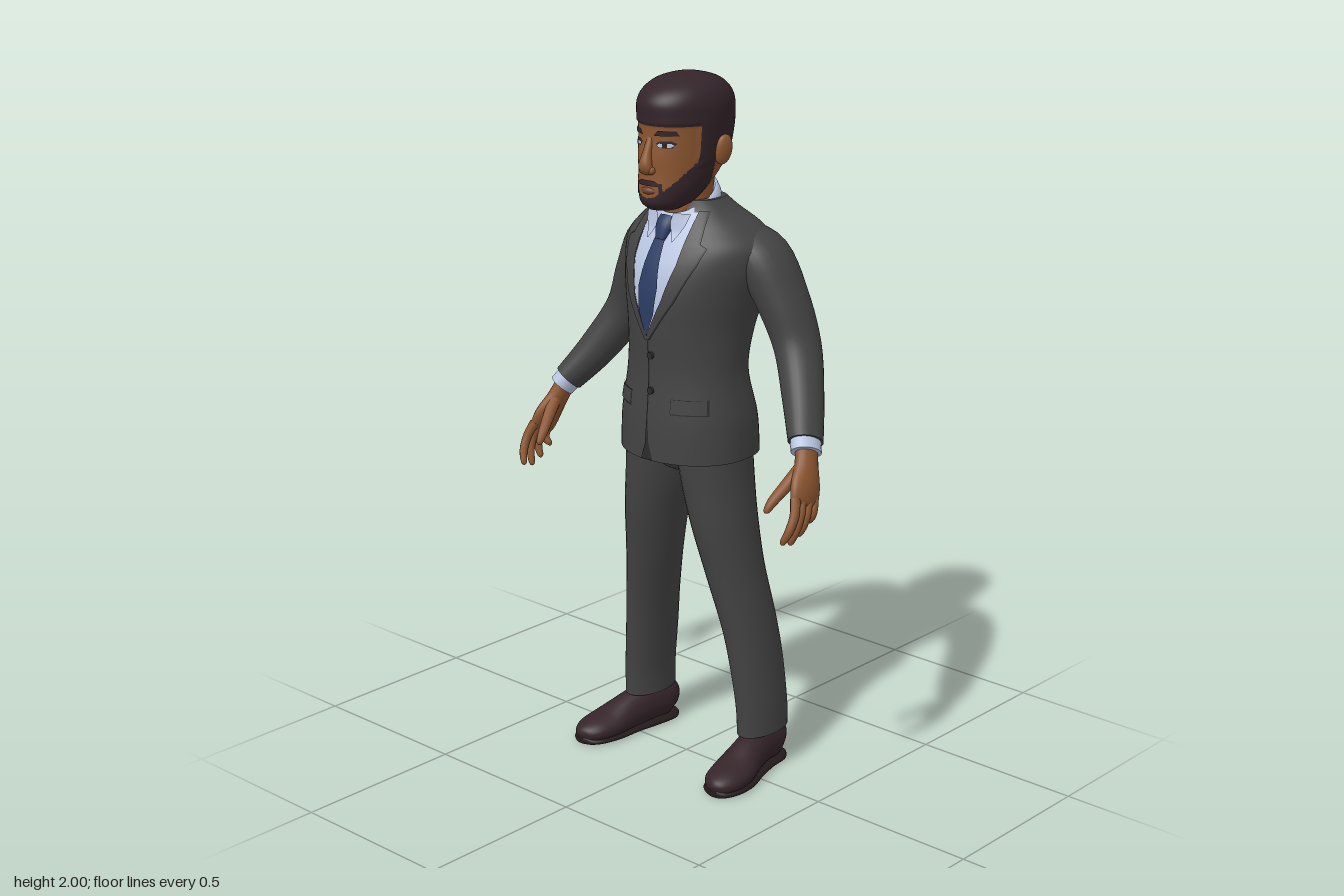
import * as THREE from 'three';

const mat = (name, color) => Object.assign(new THREE.MeshStandardMaterial({ color, side: THREE.DoubleSide }), { name });
const suit = mat('suit cloth', 0x434343), seam = mat('suit seam', 0x2b2b2b), skin = mat('skin', 0x8b5530);
const hair = mat('hair', 0x33242a), shoe = mat('shoe leather', 0x35252a), sole = mat('shoe sole', 0x241a1c);
const shirt = mat('shirt', 0xb9c5e0), tie = mat('tie', 0x2b3c63), lip = mat('lips', 0x754331);

// Catmull-Rom interpolation of rows of numbers, k steps per span
function dense(rows, k) {
  const out = [], n = rows.length, at = i => rows[Math.min(n - 1, Math.max(0, i))];
  for (let i = 0; i < n - 1; i++) for (let j = 0; j < k; j++) {
    const t = j / k, [a, b, c, d] = [at(i - 1), at(i), at(i + 1), at(i + 2)];
    out.push(b.map((p, m) => {
      const cubic = 3 * (p - c[m]) + d[m] - a[m], square = 2 * a[m] - 5 * p + 4 * c[m] - d[m];
      return p + 0.5 * t * (c[m] - a[m] + t * (square + t * cubic));
    }));
  }
  out.push(rows[n - 1]);
  return out;
}

// Closed skin over rings of points, with optional flat caps; always wound outwards
function loft(rings, caps = true) {
  const n = rings[0].length, pos = rings.flat(2), idx = [];
  for (let i = 0; i < rings.length - 1; i++) for (let j = 0; j < n; j++) {
    const a = i * n + j, b = i * n + (j + 1) % n;
    idx.push(a, b, a + n, b, b + n, a + n);
  }
  if (caps) for (const [ring, flip] of [[rings[0], true], [rings[rings.length - 1], false]]) {
    const base = pos.length / 3;
    pos.push(...ring.flat(), ...[0, 1, 2].map(m => ring.reduce((s, p) => s + p[m], 0) / n));
    for (let j = 0; j < n; j++) {
      const k = (j + 1) % n;
      idx.push(base + n, base + (flip ? k : j), base + (flip ? j : k));
    }
  }
  const v = i => new THREE.Vector3(pos[i * 3], pos[i * 3 + 1], pos[i * 3 + 2]);
  let volume = 0;
  for (let i = 0; i < idx.length; i += 3) volume += v(idx[i]).dot(v(idx[i + 1]).cross(v(idx[i + 2])));
  if (volume < 0) idx.reverse();
  const g = new THREE.BufferGeometry();
  g.setAttribute('position', new THREE.Float32BufferAttribute(pos, 3));
  g.setIndex(idx);
  g.computeVertexNormals();
  return g;
}

// Limb along a path of [x, y, z, half width, half depth], side s mirrors x
function limb(path, s = 1, ref = [0, 0, 1], seg = 20, k = 5) {
  const rows = dense(path, k), P = r => new THREE.Vector3(r[0], r[1], r[2]);
  return loft(rows.map((r, i) => {
    const t = P(rows[Math.min(i + 1, rows.length - 1)]).sub(P(rows[Math.max(i - 1, 0)])).normalize();
    const u = new THREE.Vector3(...ref).cross(t).normalize(), w = t.clone().cross(u);
    return Array.from({ length: seg }, (_, j) => {
      const a = j / seg * Math.PI * 2;
      const p = P(r).addScaledVector(u, Math.cos(a) * r[3]).addScaledVector(w, Math.sin(a) * r[4]);
      return [p.x * s, Math.max(0, p.y), p.z];
    });
  }));
}

// Upright body from rows [y, half width, front z, back z, widest z]
const bodyRings = (rows, seg, eb) => rows.map(([y, hw, zf, zb, zw]) => Array.from({ length: seg }, (_, j) => {
  const a = j / seg * Math.PI * 2, c = Math.cos(a), s = Math.sin(a), e = s > 0 ? 1 : eb;
  return [hw * Math.sign(c) * Math.abs(c) ** e, y, zw + (s > 0 ? zf - zw : zw - zb) * Math.sign(s) * Math.abs(s) ** e];
}));
const frontZ = rows => (x, y) => {
  let i = 0;
  while (i < rows.length - 2 && rows[i + 1][0] < y) i++;
  const t = THREE.MathUtils.clamp((y - rows[i][0]) / (rows[i + 1][0] - rows[i][0]), 0, 1);
  const [, hw, zf, , zw] = rows[i].map((p, m) => p + (rows[i + 1][m] - p) * t);
  return zw + (zf - zw) * Math.sqrt(Math.max(0, 1 - (x / hw) ** 2));
};

// Thin sheet lying on a front surface, from rows [y, x1, x2] listed downwards
function patch(surface, rows, off, s = 1) {
  const pos = [], idx = [], m = 8, all = dense(rows.map(r => [...r]), 1), k = 6, fine = [all[0]];
  for (let i = 1; i < all.length; i++) for (let j = 1; j <= k; j++) {
    fine.push(all[i - 1].map((p, q) => p + (all[i][q] - p) * j / k));
  }
  fine.forEach(([y, a, b], i) => {
    for (let j = 0; j <= m; j++) {
      const x = (a + (b - a) * j / m) * s, q = i * (m + 1) + j;
      pos.push(x, y, surface(x, y) + off);
      if (i && j) idx.push(q, q - m - 2, q - 1, q, q - m - 1, q - m - 2);
    }
  });
  if (s < 0) idx.reverse();
  const g = new THREE.BufferGeometry();
  g.setAttribute('position', new THREE.Float32BufferAttribute(pos, 3));
  g.setIndex(idx);
  g.computeVertexNormals();
  return g;
}

export function createModel() {
  const root = new THREE.Group();
  const add = (name, geo, m) => {
    const mesh = new THREE.Mesh(geo, m);
    mesh.name = name;
    root.add(mesh);
    return mesh;
  };
  const both = f => [['left', 1], ['right', -1]].forEach(([n, s]) => f(n, s));

  // Jacket body
  const torso = dense([[0.94, 0.2, 0.163, -0.175, 0], [1.05, 0.196, 0.16, -0.165, 0], [1.18, 0.174, 0.15, -0.138, 0],
    [1.3, 0.18, 0.155, -0.152, -0.03], [1.4, 0.205, 0.155, -0.176, -0.06], [1.48, 0.23, 0.138, -0.18, -0.08],
    [1.54, 0.232, 0.11, -0.178, -0.08], [1.59, 0.185, 0.08, -0.16, -0.07], [1.63, 0.125, 0.058, -0.13, -0.04],
    [1.66, 0.092, 0.05, -0.105, -0.02]], 6);
  const chest = frontZ(torso);
  add('jacketBody', loft(bodyRings(torso, 56, 0.75)), suit);
  // Shirt front and tie
  add('shirtFront', patch(chest, [[1.63, -0.085, 0.085], [1.5, -0.078, 0.078], [1.4, -0.05, 0.05], [1.3, -0.003, 0.003]], 0.004), shirt);
  add('tieBlade', patch(chest, [[1.57, -0.017, 0.017], [1.43, -0.034, 0.034], [1.36, -0.026, 0.026], [1.3, -0.003, 0.003]], 0.009), tie);
  add('tieKnot', limb([[0, 1.615, 0.075, 0.026, 0.012], [0, 1.59, 0.09, 0.027, 0.017], [0, 1.555, 0.106, 0.016, 0.01]]), tie);
  // Shirt collar, tilted down to the front
  const collarRing = (r, dy) => Array.from({ length: 40 }, (_, j) => {
    const a = j / 40 * Math.PI * 2, s = Math.sin(a);
    return [Math.cos(a) * r, 1.643 + dy - 0.04 * s, -0.008 + s * (r + 0.005)];
  });
  add('shirtCollar', loft([collarRing(0.09, -0.03), collarRing(0.087, 0), collarRing(0.077, 0.022), collarRing(0.07, 0.018)], false), shirt);
  // Front closing edge, buttons and back vent
  add('frontSeam', patch(chest, [[1.3, -0.002, 0.002], [1.06, -0.002, 0.002], [0.99, -0.005, 0.007], [0.942, -0.02, 0.022]], 0.003), seam);
  for (const y of [1.24, 1.14]) {
    const b = add('jacketButton', new THREE.CylinderGeometry(0.01, 0.01, 0.008, 16).rotateX(Math.PI / 2), seam);
    b.position.set(0.008, y, chest(0, y) + 0.004);
  }
  add('backVent', new THREE.BoxGeometry(0.004, 0.12, 0.004).translate(0, 1.0, -0.169), seam);
  // Trouser seat
  add('trouserSeat', limb([[0, 0.98, -0.015, 0.17, 0.11], [0, 0.93, -0.015, 0.14, 0.105], [0, 0.895, -0.02, 0.06, 0.07]], 1, [0, 0, 1], 32), suit);

  both((n, s) => {
    // Lapel with a notch, over a slightly larger dark edge
    const lapel = [[1.635, 0.082, 0.1], [1.555, 0.08, 0.118], [1.545, 0.08, 0.138], [1.5, 0.077, 0.125], [1.4, 0.048, 0.08], [1.285, -0.004, 0.006]];
    add(n + 'LapelEdge', patch(chest, lapel.map(([y, a, b]) => [y, a, b + 0.004]), 0.006, s), seam);
    add(n + 'Lapel', patch(chest, lapel, 0.009, s), suit);
    add(n + 'CollarPoint', patch((x, y) => chest(x, y) + 0.4 * Math.max(0, y - 1.58), [[1.63, 0.03, 0.078], [1.6, 0.022, 0.07], [1.555, 0.042, 0.046]], 0.011, s), shirt);
    // Hip pocket flap
    const flap = [[1.125, 0.075, 0.155], [1.085, 0.075, 0.16]];
    add(n + 'PocketEdge', patch(chest, flap.map(([y, a, b], i) => [y - i * 0.004, a - 0.003, b + 0.003]), 0.003, s), seam);
    add(n + 'PocketFlap', patch(chest, flap, 0.006, s), suit);

    // Sleeve, cuff and hand
    add(n + 'Sleeve', limb([[0.1, 1.555, -0.085, 0.045, 0.075], [0.195, 1.505, -0.09, 0.07, 0.09], [0.265, 1.39, -0.1, 0.068, 0.08],
      [0.318, 1.27, -0.1, 0.062, 0.07], [0.385, 1.15, -0.045, 0.054, 0.06], [0.448, 1.055, 0.018, 0.042, 0.052]], s, [0, 0, 1], 28), suit);
    add(n + 'Cuff', limb([[0.44, 1.067, 0.01, 0.037, 0.046], [0.462, 1.032, 0.032, 0.036, 0.046]], s), shirt);
    add(n + 'Palm', limb([[0.452, 1.05, 0.02, 0.026, 0.034], [0.47, 1.0, 0.04, 0.026, 0.038], [0.488, 0.95, 0.065, 0.024, 0.052],
      [0.497, 0.915, 0.08, 0.018, 0.052], [0.5, 0.9, 0.086, 0.01, 0.045]], s), skin);
    [[0.125, 0.162, 0.812], [0.1, 0.13, 0.803], [0.073, 0.095, 0.818], [0.047, 0.058, 0.845]].forEach(([z0, z1, y], i) =>
      add(n + 'Finger' + (i + 1), limb([[0.495, 0.93, z0 - 0.01, 0.014, 0.014], [0.508, 0.89, z0 + 0.008, 0.013, 0.013],
        [0.506, (0.89 + y) / 2, (z0 + z1) / 2 + 0.008, 0.012, 0.012], [0.494, y + 0.008, z1, 0.009, 0.009],
        [0.491, y, z1, 0.002, 0.002]], s, [0, 0, 1], 10, 3), skin));
    add(n + 'Thumb', limb([[0.465, 0.995, 0.06, 0.018, 0.02], [0.45, 0.95, 0.105, 0.017, 0.017], [0.437, 0.915, 0.14, 0.014, 0.014],
      [0.432, 0.892, 0.158, 0.009, 0.009], [0.431, 0.886, 0.161, 0.002, 0.002]], s, [0, 0, 1], 10, 3), skin);

    // Trouser leg
    add(n + 'TrouserLeg', limb([[0.095, 0.97, -0.01, 0.098, 0.12], [0.108, 0.86, -0.014, 0.092, 0.115], [0.128, 0.75, -0.018, 0.084, 0.107],
      [0.155, 0.6, -0.035, 0.074, 0.095], [0.185, 0.45, -0.058, 0.066, 0.092], [0.203, 0.33, -0.072, 0.061, 0.093],
      [0.218, 0.2, -0.08, 0.057, 0.092], [0.221, 0.115, -0.083, 0.056, 0.092]], s, [0, 0, 1], 28), suit);
    // Shoe and sole
    const foot = [[0.211, 0.05, -0.168, 0.025, 0.035], [0.213, 0.065, -0.135, 0.045, 0.06], [0.22, 0.068, -0.07, 0.047, 0.062],
      [0.234, 0.055, 0, 0.052, 0.056], [0.248, 0.038, 0.07, 0.063, 0.042], [0.257, 0.03, 0.13, 0.057, 0.034],
      [0.262, 0.025, 0.165, 0.036, 0.024], [0.263, 0.022, 0.178, 0.01, 0.01]];
    add(n + 'Shoe', limb(foot, s, [0, 1, 0], 24), shoe);
    add(n + 'ShoeSole', limb(foot.map(([x, , z, a]) => [x, 0.008, z, a + 0.004, 0.014]), s, [0, 1, 0], 24), sole);
  });

  // Neck
  add('neck', limb([[0, 1.58, -0.01, 0.07, 0.075], [0, 1.66, -0.005, 0.066, 0.075], [0, 1.74, -0.01, 0.068, 0.08]]), skin);
  // Head, split into skin and hair by region
  const headRows = dense([[1.642, 0.042, 0.135, 0.05, 0.09], [1.662, 0.068, 0.157, 0.0, 0.07], [1.7, 0.088, 0.157, -0.05, 0.05],
    [1.74, 0.1, 0.154, -0.088, 0.02], [1.79, 0.108, 0.153, -0.118, 0], [1.84, 0.112, 0.148, -0.135, 0], [1.89, 0.115, 0.148, -0.14, 0],
    [1.93, 0.113, 0.147, -0.136, 0], [1.96, 0.101, 0.126, -0.12, 0], [1.983, 0.076, 0.085, -0.09, 0], [1.997, 0.035, 0.038, -0.042, 0],
    [2, 0.004, 0.004, -0.004, 0]], 8);
  const isHair = (y, z) => z > 0.06 ? y > 1.872 : z > 0.02 ? y > 1.76 : y > 1.765 + (z + 0.02) * 0.45;
  const isBeard = (x, y, z) => z > 0 && y < 1.678 + 10 * x * x;
  const headGeo = loft(bodyRings(headRows, 96, 0.95).map(ring => ring.map(([x, y, z]) => {
    const f = isHair(y, z) ? 1.03 : 1;
    return [x * f, y, z * f];
  })));
  const hp = headGeo.attributes.position, hi = headGeo.index.array, parts = [[], []];
  for (let i = 0; i < hi.length; i += 3) {
    const t = [hi[i], hi[i + 1], hi[i + 2]];
    const [x, y, z] = ['getX', 'getY', 'getZ'].map(f => t.reduce((q, k) => q + hp[f](k), 0) / 3);
    parts[isHair(y, z) || isBeard(x, y, z) ? 1 : 0].push(...t);
  }
  headGeo.setIndex(parts.flat());
  headGeo.addGroup(0, parts[0].length, 0);
  headGeo.addGroup(parts[0].length, parts[1].length, 1);
  add('head', headGeo, [skin, hair]);

  // Face details
  const face = frontZ(headRows);
  add('nose', limb([[0, 1.84, 0.142, 0.01, 0.008], [0, 1.8, 0.156, 0.013, 0.012], [0, 1.766, 0.163, 0.02, 0.017], [0, 1.745, 0.156, 0.02, 0.008]]), skin);
  add('moustache', patch(face, [[1.727, -0.022, 0.022], [1.719, -0.038, 0.038], [1.712, -0.042, 0.042]], 0.004), hair);
  add('lips', limb([[-0.034, 1.696, 0.142, 0.003, 0.003], [0, 1.698, 0.156, 0.01, 0.009], [0.034, 1.696, 0.142, 0.003, 0.003]]), lip);
  both((n, s) => {
    add(n + 'MouthSide', patch(face, [[1.72, 0.034, 0.043], [1.685, 0.037, 0.047]], 0.003, s), hair);
    add(n + 'Brow', patch(face, [[1.862, 0.03, 0.072], [1.848, 0.02, 0.078]], 0.005, s), hair);
    add(n + 'LashLine', patch(face, [[1.834, 0.034, 0.062], [1.828, 0.024, 0.072], [1.816, 0.032, 0.064]], 0.002, s), hair);
    add(n + 'EyeWhite', patch(face, [[1.828, 0.034, 0.062], [1.823, 0.027, 0.069], [1.818, 0.035, 0.061]], 0.004, s), shirt);
    add(n + 'Iris', patch(face, [[1.829, 0.043, 0.054], [1.817, 0.043, 0.054]], 0.006, s), sole);
    const nostril = add(n + 'Nostril', new THREE.SphereGeometry(0.011, 12, 8), skin);
    nostril.position.set(s * 0.016, 1.754, 0.157);
    const ear = add(n + 'Ear', new THREE.SphereGeometry(1, 20, 14), skin);
    ear.scale.set(0.014, 0.042, 0.026);
    ear.position.set(s * 0.118, 1.8, -0.018);
    ear.rotation.set(-0.15, s * -0.3, s * -0.12);
  });
  return root;
}
